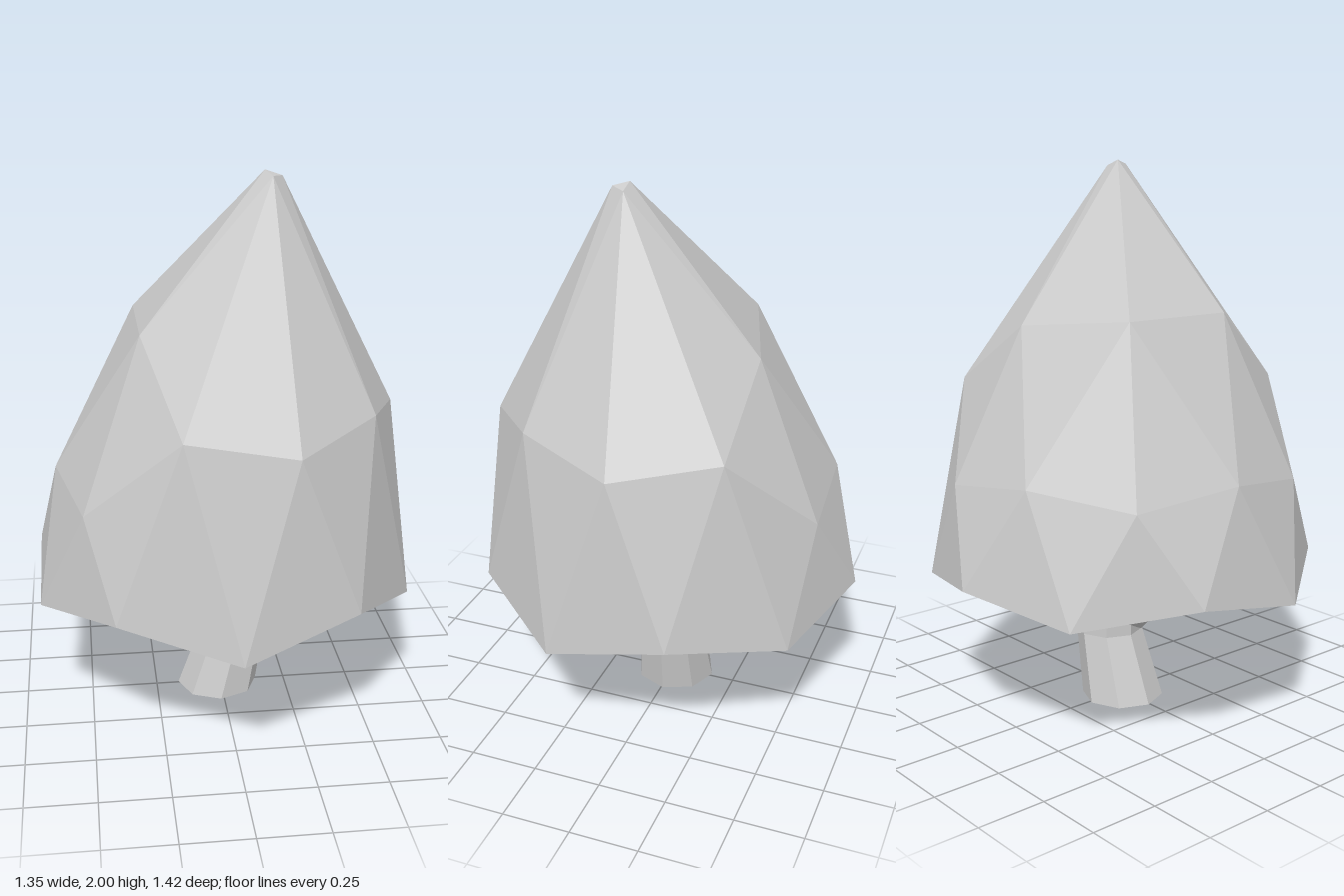
import * as THREE from 'three';

const V = (x, y, z) => new THREE.Vector3(x, y, z);
const UP = V(0, 1, 0);

function facetedMesh(name, triangles) {
  const geometry = new THREE.BufferGeometry().setFromPoints(triangles);
  geometry.computeVertexNormals();
  const mesh = new THREE.Mesh(geometry,
    new THREE.MeshStandardMaterial({ color: 0xcccccc, flatShading: true }));
  mesh.name = name;
  return mesh;
}

// Point on a ring: angle in degrees from the front towards +x
const polar = (deg, r, y) => {
  const a = THREE.MathUtils.degToRad(deg);
  return V(Math.sin(a) * r, y, Math.cos(a) * r);
};

// Tapered limb through [x, y, z, radius] sections, closed at both ends
function limb(name, sections, sides, level) {
  const centres = sections.map(([x, y, z]) => V(x, y, z));
  const rings = centres.map((c, i) => {
    const next = centres[Math.min(i + 1, centres.length - 1)];
    const along = level ? UP : next.clone().sub(centres[Math.max(i - 1, 0)]).normalize();
    const turn = new THREE.Quaternion().setFromUnitVectors(UP, along);
    return Array.from({ length: sides }, (_, k) =>
      polar(k * 360 / sides, sections[i][3], 0).applyQuaternion(turn).add(c));
  });
  const t = [];
  const last = rings.length - 1;
  for (let k = 0; k < sides; k++) {
    const n = (k + 1) % sides;
    for (let i = 0; i < last; i++) {
      const a = rings[i], b = rings[i + 1];
      t.push(a[k], a[n], b[n], a[k], b[n], b[k]);
    }
    t.push(rings[0][n], rings[0][k], centres[0]);
    t.push(rings[last][k], rings[last][n], centres[last]);
  }
  return facetedMesh(name, t);
}

// Leaf crown: faceted outer skin, zigzag hem and hollow underside
function crown() {
  const hem = [0.455, 0.56, 0.455, 0.56, 0.495, 0.56, 0.495, 0.56, 0.48, 0.56]
    .map((y, k) => polar(36 * k, 0.711, y));
  const waist = [[0.635, 1.14], [0.61, 1.2], [0.635, 1.14], [0.61, 1.2], [0.635, 0.88],
    [0.605, 0.93], [0.64, 0.88], [0.605, 0.93], [0.635, 0.88], [0.605, 1.2]]
    .map(([r, y], k) => polar(18 + 36 * k, r, y));
  // Two shoulder points are drawn up to the leaning tip
  const shoulder = [V(0.16, 1.985, 0.155), V(0.2, 1.98, 0.1), V(0.12, 1.43, -0.36),
    V(-0.3, 1.47, -0.22), V(-0.3, 1.47, 0.22)];
  const tip = V(0.14, 2, 0.1);
  // Narrow turned-in lip below a conical hollow
  const lip = waist.map((_, k) => polar(18 + 36 * k, 0.61, 0.55));
  const hollowTop = V(0.03, 1, 0);

  const t = [];
  for (let j = 0; j < 10; j++) {
    const n = (j + 1) % 10;
    t.push(hem[j], hem[n], waist[j], hem[n], waist[n], waist[j]);
    // Underside faces point inward
    t.push(hem[n], hem[j], lip[j], hem[n], lip[j], lip[n]);
    t.push(lip[n], lip[j], hollowTop);
  }
  for (let m = 0; m < 5; m++) {
    const a = shoulder[m], b = shoulder[(m + 1) % 5];
    const left = waist[2 * m], mid = waist[2 * m + 1], right = waist[(2 * m + 2) % 10];
    t.push(left, mid, a, mid, right, b, mid, b, a, a, b, tip);
  }
  return facetedMesh('leafCrown', t);
}

export function createModel() {
  const tree = new THREE.Group();
  tree.name = 'tree';

  // Bent eight-sided trunk
  tree.add(limb('trunk', [
    [-0.012, 0, -0.007, 0.152],
    [0.055, 0.25, -0.015, 0.125],
    [0.05, 0.55, -0.01, 0.124],
    [0.05, 0.95, -0.01, 0.124],
  ], 8, true));

  // Three curved branches reaching up into the crown
  tree.add(limb('rightBranch', [
    [0, 0.345, -0.03, 0.048], [-0.2, 0.37, -0.1, 0.036],
    [-0.34, 0.455, -0.17, 0.024], [-0.44, 0.58, -0.22, 0.004],
  ], 4));
  tree.add(limb('leftBranch', [
    [0.11, 0.345, -0.03, 0.048], [0.28, 0.37, -0.12, 0.036],
    [0.37, 0.45, -0.17, 0.024], [0.44, 0.58, -0.22, 0.004],
  ], 4));
  tree.add(limb('frontBranch', [
    [0.05, 0.41, 0.05, 0.048], [-0.03, 0.385, 0.23, 0.036],
    [-0.13, 0.43, 0.33, 0.024], [-0.21, 0.56, 0.41, 0.004],
  ], 4));

  tree.add(crown());
  return tree;
}
